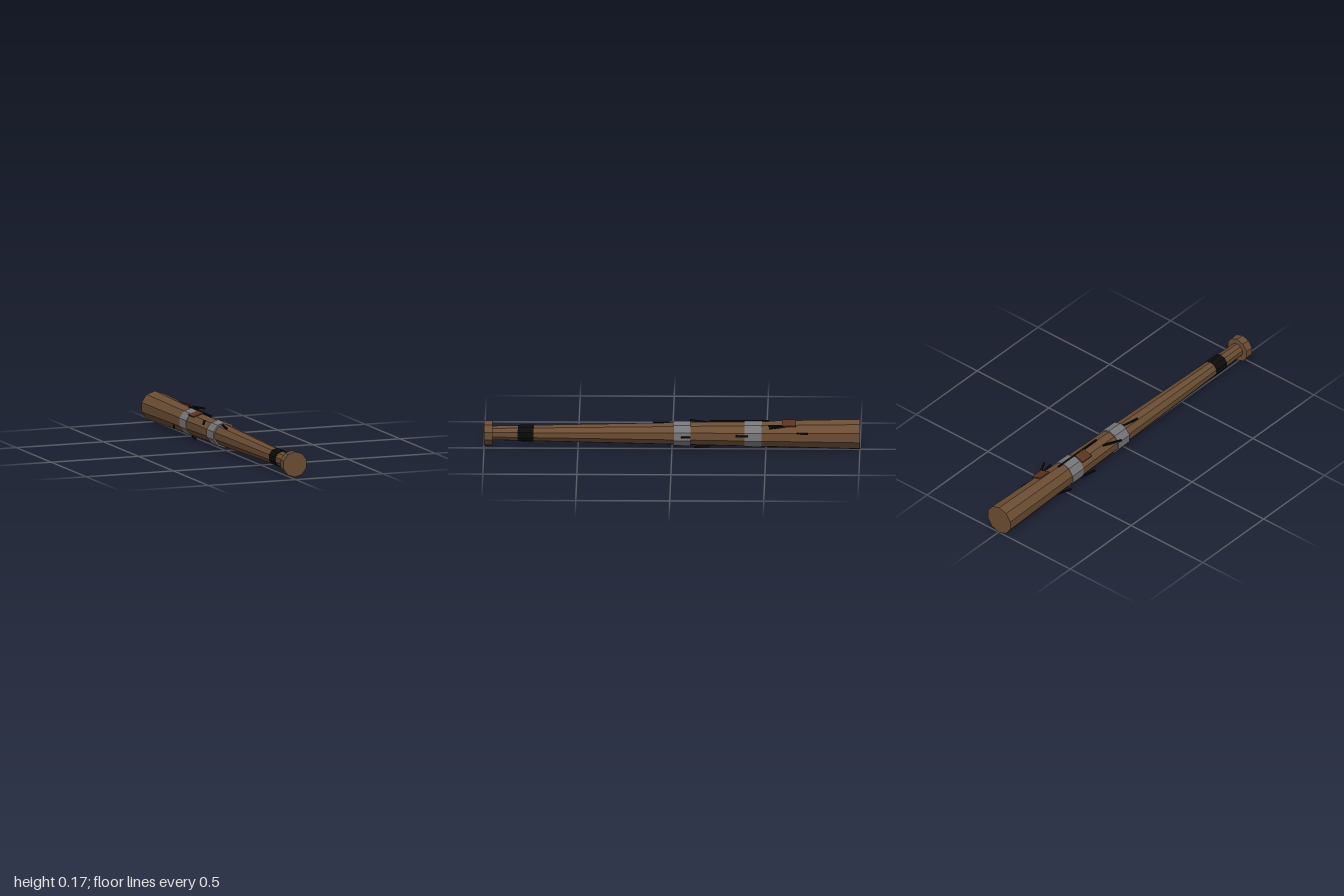
import * as THREE from 'three';

const AX = -0.0035, AY = 0.084; // axis of the bat, running along z
const SIDES = 10;

function mat(name, color) {
  const m = new THREE.MeshStandardMaterial({ color, flatShading: true });
  m.name = name;
  return m;
}

export function createModel() {
  const wood = mat('wood', 0x6b4d33);
  const metal = mat('grey metal', 0x77777a);
  const black = mat('black', 0x0c0c0c);
  const patchBrown = mat('red brown', 0x5c3320);

  const group = new THREE.Group();
  group.name = 'spikedBat';

  const add = (name, geometry, material) => {
    const mesh = new THREE.Mesh(geometry, material);
    mesh.name = name;
    group.add(mesh);
    return mesh;
  };

  // Ten-sided section from zFront to zBack, with a corner at the top
  const section = (name, zFront, zBack, rFront, rBack, material) => {
    const g = new THREE.CylinderGeometry(rFront, rBack, zFront - zBack, SIDES);
    g.rotateX(Math.PI / 2);
    add(name, g, material).position.set(AX, AY, (zFront + zBack) / 2);
  };

  // Tapered body and end knob
  section('body', 0.96, -1, 0.039, 0.0825, wood);
  section('knob', 1, 0.955, 0.069, 0.069, wood);

  // Grip band and two metal bands
  section('gripBand', 0.82, 0.735, 0.0455, 0.0465, black);
  section('frontBand', -0.005, -0.098, 0.0685, 0.0695, metal);
  section('rearBand', -0.387, -0.478, 0.073, 0.074, metal);

  // Thin patches lying on the two upper facets
  for (const [side, z, apothem] of [[1, -0.622, 0.0745], [-1, -0.345, 0.068]]) {
    const a = Math.PI / 10;
    const p = add('patch', new THREE.BoxGeometry(0.062, 0.006, 0.075), patchBrown);
    p.position.set(AX + side * (apothem * Math.sin(a) + 0.007), AY + apothem * Math.cos(a) - 0.002, z);
    p.rotation.z = -side * a;
  }

  // Nails: start and end points
  const nails = [
    [[-0.003, 0.154, -0.2], [-0.003, 0.155, -0.515]],
    [[0.09, 0.14, -0.52], [0.042, 0.141, -0.615]],
    [[0.05, 0.142, -0.515], [0.037, 0.141, -0.615]],
    [[0.066, 0.106, -0.665], [0.074, 0.106, -0.725]],
    [[-0.09, 0.048, -0.51], [-0.06, 0.048, -0.59]],
    [[-0.09, 0.134, -0.095], [-0.043, 0.134, -0.195]],
    [[-0.034, 0.137, 0.1], [-0.014, 0.139, -0.02]],
    [[-0.059, 0.024, -0.28], [-0.038, 0.022, -0.38]],
    [[0.03, 0.02, -0.12], [0.012, 0.019, -0.2]],
    [[0.066, 0.09, -0.34], [0.07, 0.09, -0.405]],
    [[0.064, 0.081, -0.05], [0.06, 0.081, -0.1]],
  ];
  for (const [start, end] of nails) {
    const a = new THREE.Vector3(...start), b = new THREE.Vector3(...end);
    const nail = add('nail', new THREE.BoxGeometry(0.009, 0.009, a.distanceTo(b)), black);
    nail.position.lerpVectors(a, b, 0.5);
    nail.lookAt(b);
  }

  return group;
}
